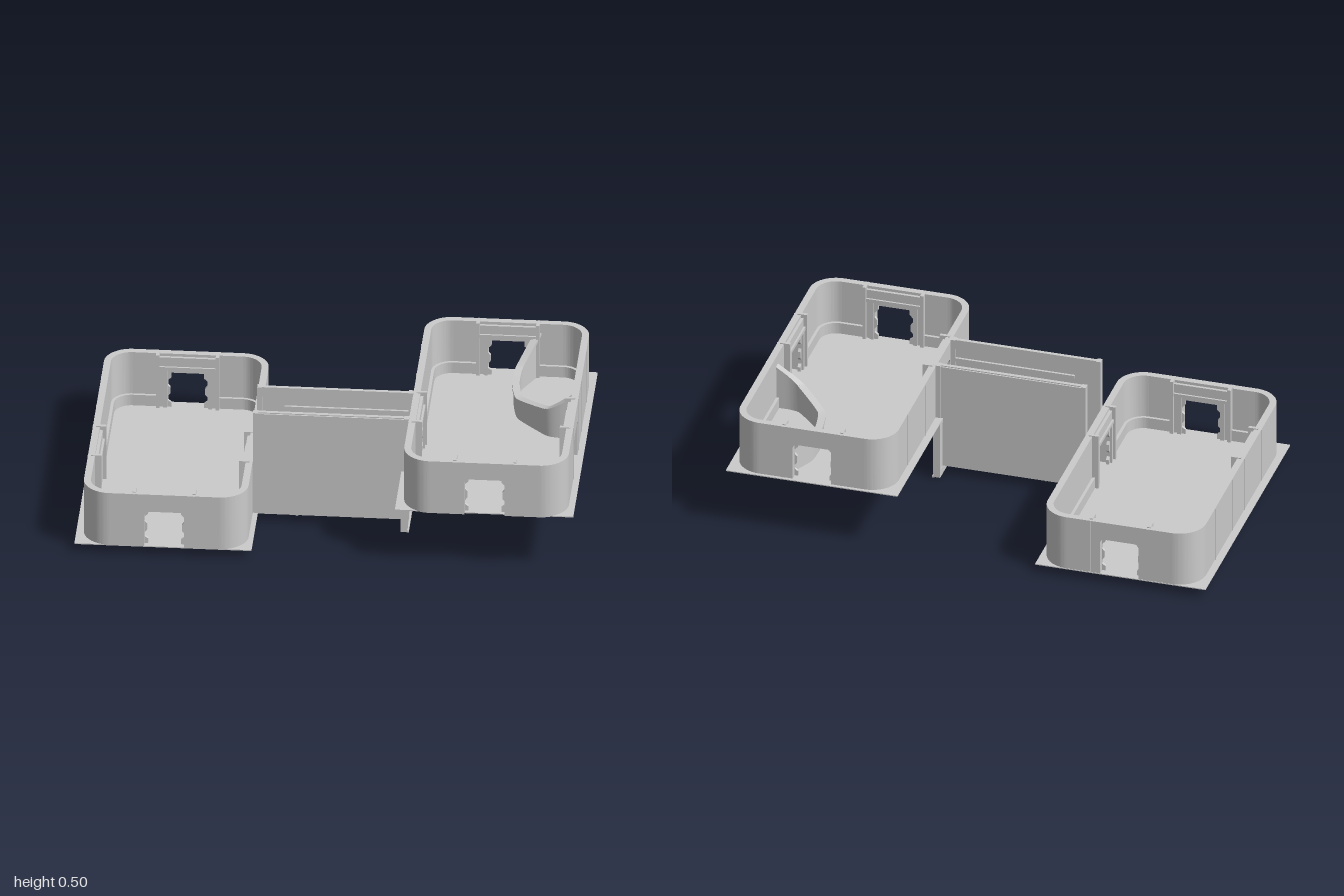
import * as THREE from 'three';
import { toCreasedNormals } from 'three/addons/utils/BufferGeometryUtils.js';

const grey = new THREE.MeshStandardMaterial({ color: 0xcccccc, side: THREE.DoubleSide });
const W = 0.66, D = 1.19, R = 0.11, TH = 0.028;

function add(parent, name, geometry, x = 0, y = 0, z = 0) {
  const mesh = new THREE.Mesh(geometry, grey);
  mesh.name = name;
  mesh.position.set(x, y, z);
  parent.add(mesh);
  return mesh;
}
function box(parent, name, x0, x1, y0, y1, z0, z1) {
  return add(parent, name, new THREE.BoxGeometry(x1 - x0, y1 - y0, z1 - z0),
    (x0 + x1) / 2, (y0 + y1) / 2, (z0 + z1) / 2);
}
function extrude(points, depth) {
  const shape = new THREE.Shape(points.map(([x, y]) => new THREE.Vector2(x, y)));
  return new THREE.ExtrudeGeometry(shape, { depth, bevelEnabled: false });
}

// Half outlines of the doorways, bottom to top: plain cut and stepped frame
const plainCut = [[0.08, 0], [0.08, 0.145], [0.076, 0.155], [0.066, 0.16]];
const steppedCut = [[0.066, 0], [0.066, 0.022], [0.08, 0.032], [0.08, 0.05], [0.07, 0.062],
  [0.07, 0.09], [0.08, 0.102], [0.08, 0.122], [0.066, 0.136], [0.066, 0.158]];

// Flat panel from a to b, with a doorway cut up from the bottom edge
function panel(a, b, height, thick, cut, at = 0) {
  const points = [[a, 0]];
  if (cut) {
    points.push(...cut.map(([x, y]) => [at - x, y]));
    points.push(...cut.map(([x, y]) => [at + x, y]).reverse());
  }
  points.push([b, 0], [b, height], [a, height]);
  return extrude(points, thick).translate(0, 0, -thick);
}

// One straight side: local +z points outward, the outer face lies at z = 0
function wallSide(room, side, height) {
  const g = new THREE.Group();
  g.name = side.name;
  g.rotation.y = side.turn;
  const along = Math.abs(Math.sin(side.turn)) > 0.5;
  const half = (along ? D : W) / 2 - R;
  const out = (along ? W : D) / 2;
  g.position.set(Math.sin(side.turn) * out, 0, Math.cos(side.turn) * out);
  const at = side.at;
  add(g, 'wallPanel', panel(-half, half, height, TH, side.open && plainCut, at));
  // inner door surround flanked by posts
  const surround = add(g, 'doorSurround', panel(at - 0.12, at + 0.12, height - 0.012, 0.012,
    side.open && steppedCut, at));
  surround.position.z = -TH;
  for (const s of [-1, 1]) {
    const p = at + s * 0.12;
    box(g, 'doorPost', p - 0.007, p + 0.007, 0, height + 0.004, -0.054, -0.012);
    box(g, 'wallSeam', p - 0.002, p + 0.002, 0, height, -0.002, 0.002);
    if (side.open) {
      const j = at + s * 0.09;
      box(g, 'doorJamb', j - 0.008, j + 0.008, 0, 0.185, -0.048, -0.036);
    }
  }
  box(g, 'doorLintel', at - 0.115, at + 0.115, 0.172, 0.186, -0.048, -0.036);
  // skirting on both sides of the surround
  box(g, 'skirting', -half, at - 0.12, 0, 0.05, -0.04, -TH);
  box(g, 'skirting', at + 0.12, half, 0, 0.05, -0.04, -TH);
  if (along) {
    for (const p of [0.12, 0.36].map((v) => v * -Math.sign(at))) {
      box(g, 'wallSeam', p - 0.002, p + 0.002, 0, height, -0.002, 0.002);
    }
  }
  room.add(g);
}

// Quarter ring for the rounded corners
function corner(room, name, quarter, outer, inner, height) {
  const a = quarter * Math.PI / 2, b = a + Math.PI / 2;
  const shape = new THREE.Shape();
  shape.absarc(0, 0, outer, a, b, false);
  shape.absarc(0, 0, inner, b, a, true);
  const geo = new THREE.ExtrudeGeometry(shape, { depth: height, bevelEnabled: false, curveSegments: 14 });
  geo.rotateX(-Math.PI / 2);
  const sx = quarter === 0 || quarter === 3 ? 1 : -1, sz = quarter < 2 ? -1 : 1;
  add(room, name, toCreasedNormals(geo, 0.5), sx * (W / 2 - R), 0, sz * (D / 2 - R));
}

function makeRoom(name, x, y, z, height, sides) {
  const room = new THREE.Group();
  room.name = name;
  room.position.set(x, y, z);
  sides.forEach((s) => wallSide(room, s, height));
  for (let q = 0; q < 4; q++) {
    corner(room, 'cornerWall', q, R, R - TH, height);
    corner(room, 'cornerSkirting', q, R - TH, R - 0.04, 0.05);
  }
  return room;
}

// Low curved counter whose ends sweep up to the walls
function counter() {
  const g = new THREE.Group();
  g.name = 'counter';
  const path = new THREE.CatmullRomCurve3([
    [0.765, 0.45, -0.565], [0.7, 0.36, -0.43], [0.695, 0.35, -0.32], [0.72, 0.35, -0.2],
    [0.84, 0.38, -0.075], [0.89, 0.41, -0.06], [0.95, 0.45, -0.06],
  ].map((p) => new THREE.Vector3(...p)), false, 'catmullrom', 0.25);
  const N = 36;
  // sweeps a rectangle of the given half width from the floor or a slab below the top
  const sweep = (halfWidth, slab) => {
    const pos = [], idx = [];
    for (let i = 0; i <= N; i++) {
      const p = path.getPoint(i / N), t = path.getTangent(i / N).setY(0).normalize();
      const nx = -t.z * halfWidth, nz = t.x * halfWidth;
      const low = slab ? p.y - 0.012 : 0.255;
      pos.push(p.x + nx, low, p.z + nz, p.x + nx, p.y, p.z + nz,
        p.x - nx, p.y, p.z - nz, p.x - nx, low, p.z - nz);
      for (let k = 0; k < 4 && i < N; k++) {
        const a = i * 4 + k, b = i * 4 + (k + 1) % 4;
        idx.push(a, b, a + 4, b, b + 4, a + 4);
      }
    }
    const geo = new THREE.BufferGeometry();
    geo.setAttribute('position', new THREE.Float32BufferAttribute(pos, 3));
    geo.setIndex(idx);
    return toCreasedNormals(geo, 0.6);
  };
  add(g, 'counterFront', sweep(0.009, false));
  add(g, 'counterTop', sweep(0.015, true));
  return g;
}

function makeCorridor() {
  const g = new THREE.Group();
  g.name = 'corridor';
  const mid = 0.1575;
  box(g, 'corridorFloor', -0.31, 0.3, 0.038, 0.046, 0.04, 0.275);
  for (const s of [-1, 1]) {
    const span = (name, x0, x1, y0, y1, d0, d1) =>
      box(g, name, x0, x1, y0, y1, mid + Math.min(s * d0, s * d1), mid + Math.max(s * d0, s * d1));
    span('corridorWall', -0.31, 0.316, 0.04, 0.493, 0.102, 0.118);
    span('wallTopRail', -0.31, 0.316, 0.455, 0.497, 0.096, 0.112);
    span('wallLedge', -0.2, 0.3, 0.4, 0.415, 0.092, 0.104);
    span('wallSkirting', -0.31, 0.3, 0.045, 0.085, 0.095, 0.104);
    for (const x of [-0.31, 0.296]) span('endPost', x, x + 0.02, 0.04, 0.497, 0.092, 0.12);
    // sloping stair stringer with its foot below the floor
    const stringer = extrude([[-0.2, 0.042], [-0.18, 0.037], [-0.135, 0.02], [-0.095, 0.04],
      [0.3, 0.235], [0.3, 0.265], [0.27, 0.265], [-0.11, 0.075]], 0.01);
    add(g, 'stairStringer', stringer, 0, 0, mid + s * 0.087 - 0.005);
  }
  // stair treads rising to the upper room
  const steps = 11, run = 0.4 / steps, rise = 0.21 / steps;
  for (let i = 0; i < steps; i++) {
    const x = -0.1 + i * run, y = 0.046 + (i + 1) * rise;
    box(g, 'stairRiser', x + 0.004, x + 0.01, y - rise, y, mid - 0.082, mid + 0.082);
    box(g, 'stairTread', x, x + run + 0.008, y - 0.006, y, mid - 0.082, mid + 0.082);
  }
  return g;
}

// Rimmed support plate beneath the upper end of the stairs
function makeSupport() {
  const g = new THREE.Group();
  g.name = 'stairSupport';
  box(g, 'backPlate', 0.287, 0.298, 0.03, 0.255, 0.005, 0.31);
  for (const z of [0, 0.303]) box(g, 'sideRim', 0.285, 0.315, 0.02, 0.255, z, z + 0.012);
  box(g, 'topRim', 0.285, 0.315, 0.24, 0.255, 0, 0.315);
  box(g, 'topRail', 0.29, 0.307, 0.224, 0.236, 0.012, 0.303);
  box(g, 'bottomRim', 0.285, 0.312, 0.003, 0.038, 0, 0.315);
  const lip = extrude([[0, 0], [0.315, 0], [0.315, 0.01], [0.215, 0.01], [0.2, 0.024],
    [0.12, 0.024], [0.105, 0.01], [0, 0.01]], 0.008);
  add(g, 'bottomLip', lip.rotateY(-Math.PI / 2), 0.318, 0, 0);
  return g;
}

export function createModel() {
  const model = new THREE.Group();
  model.name = 'twoLevelRooms';
  const h = Math.PI / 2, doorZ = 0.1625;

  // thin ground plates
  box(model, 'lowerFloor', -1, -0.29, 0.038, 0.042, -0.605, 0.585);
  box(model, 'upperFloor', 0.285, 1, 0.253, 0.257, -0.6, 0.59);

  const sides = (z, leftOpen, rightOpen) => [
    { name: 'frontWall', turn: 0, at: 0, open: true },
    { name: 'backWall', turn: Math.PI, at: 0, open: true },
    { name: 'leftWall', turn: h, at: -(doorZ - z), open: leftOpen },
    { name: 'rightWall', turn: -h, at: doorZ - z, open: rightOpen },
  ];
  model.add(makeRoom('lowerRoom', -0.64, 0.04, -0.008, 0.238, sides(-0.008, true, false)));
  model.add(makeRoom('upperRoom', 0.645, 0.255, 0.008, 0.236, sides(0.008, true, true)));
  model.add(counter(), makeCorridor(), makeSupport());
  return model;
}
